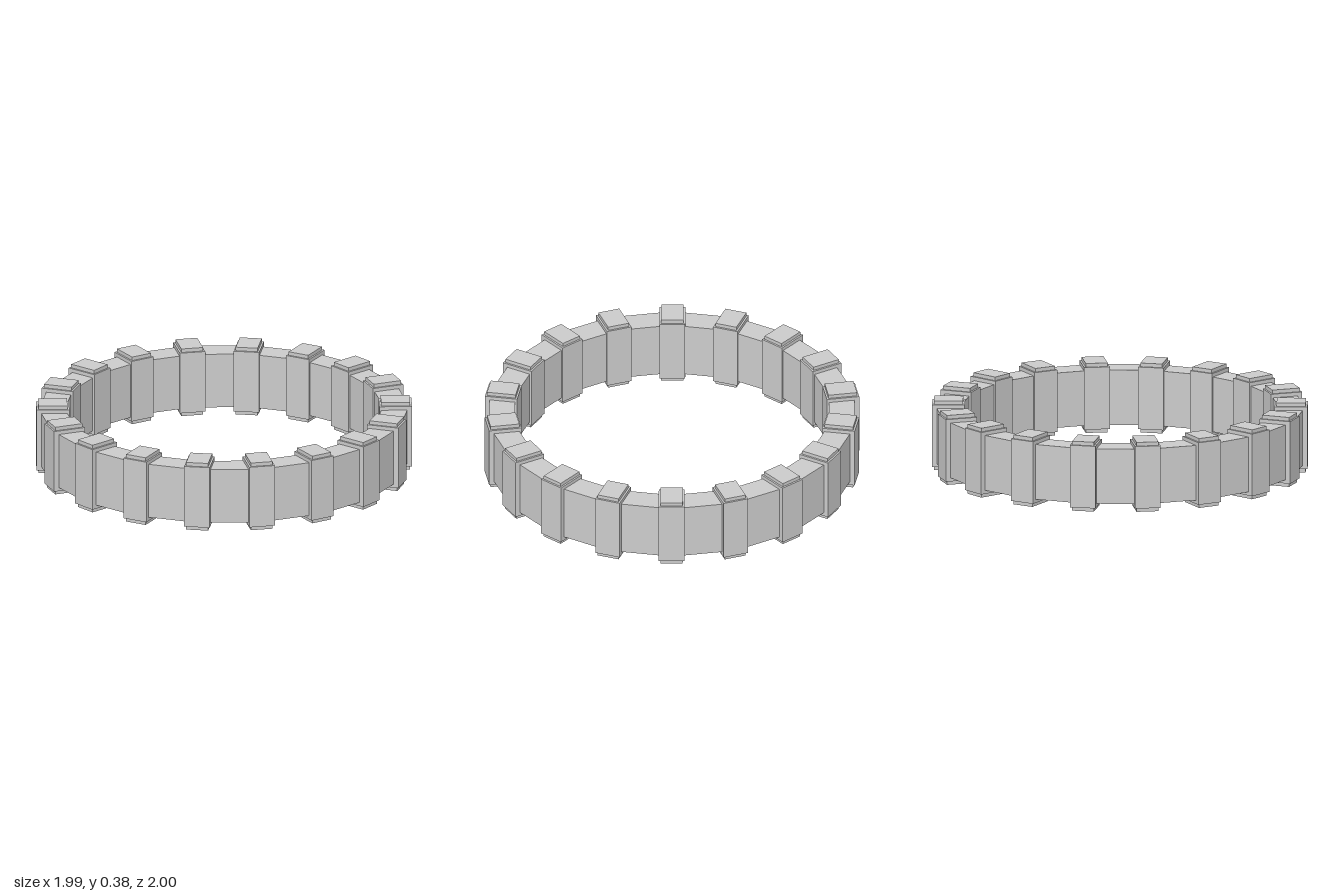
import * as THREE from 'three';

const COUNT = 18;        // blocks around the ring
const HEIGHT = 0.38;     // overall height
const BLOCK_R = 0.9125;  // radius to the middle of each block

export function createModel() {
  const model = new THREE.Group();
  model.name = 'segmentedRing';
  const material = new THREE.MeshStandardMaterial({ color: 0xcccccc, flatShading: true });

  // Faceted band: closed rectangular profile, one straight facet between neighbouring blocks
  const profile = [[0.986, 0.04], [0.986, 0.34], [0.848, 0.34], [0.848, 0.04], [0.986, 0.04]]
    .map(([r, y]) => new THREE.Vector2(r, y));
  const band = new THREE.Mesh(new THREE.LatheGeometry(profile, COUNT), material);
  band.name = 'band';
  model.add(band);

  // Blocks: a wide body with a slightly inset core forming the top and bottom caps
  const bodyGeometry = new THREE.BoxGeometry(0.138, HEIGHT - 0.04, 0.175);
  const capGeometry = new THREE.BoxGeometry(0.118, 0.02, 0.155);

  for (let i = 0; i < COUNT; i++) {
    const angle = (i / COUNT) * Math.PI * 2;
    const block = new THREE.Group();
    block.name = 'block';
    block.position.set(Math.sin(angle) * BLOCK_R, HEIGHT / 2, Math.cos(angle) * BLOCK_R);
    block.rotation.y = angle;

    const body = new THREE.Mesh(bodyGeometry, material);
    body.name = 'blockBody';
    block.add(body);

    for (const side of [-1, 1]) {
      const cap = new THREE.Mesh(capGeometry, material);
      cap.name = side > 0 ? 'topCap' : 'bottomCap';
      cap.position.y = side * (HEIGHT / 2 - 0.01);
      block.add(cap);
    }
    model.add(block);
  }
  return model;
}
